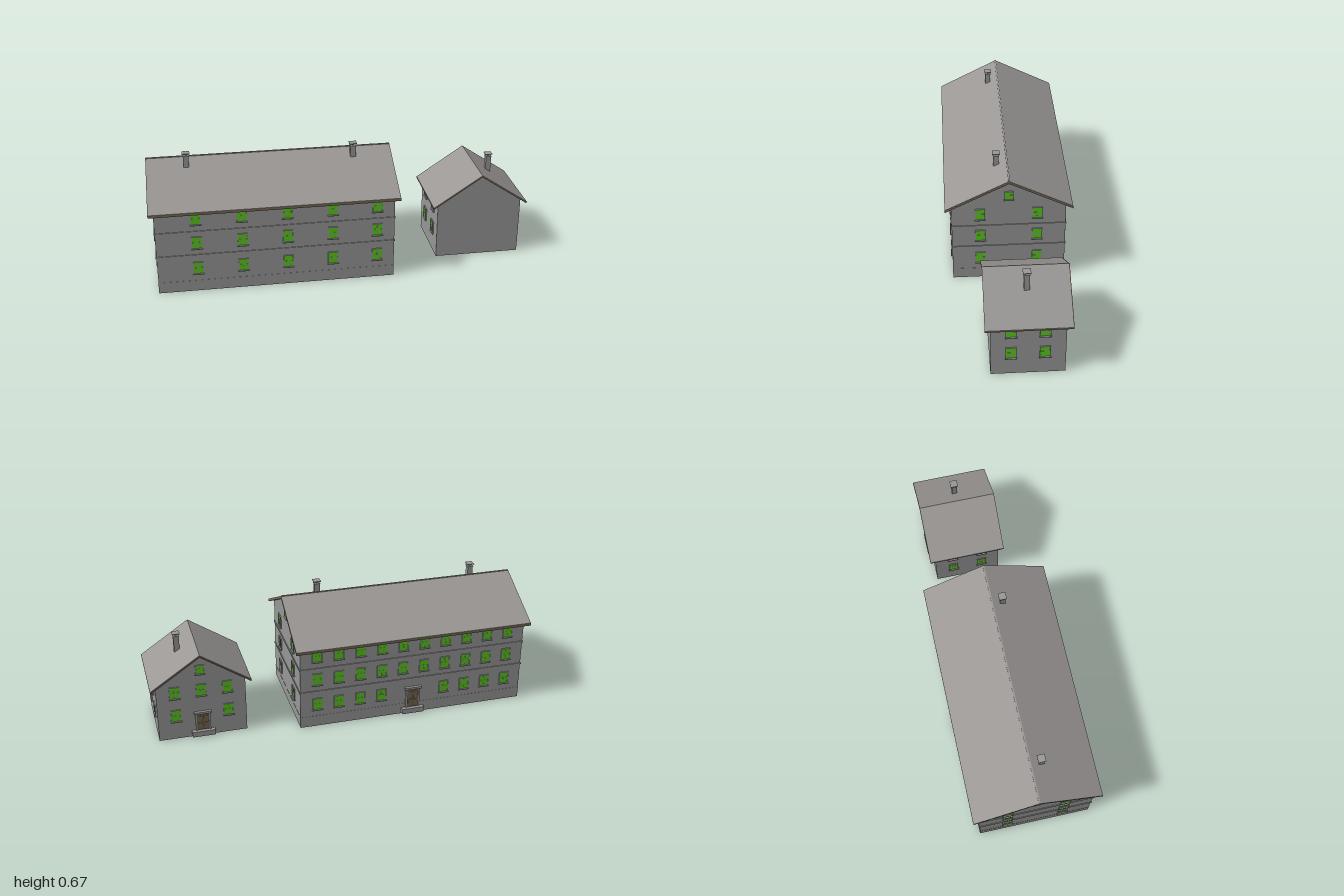
import * as THREE from 'three';

const mat = (name, color) => {
  const m = new THREE.MeshStandardMaterial({ color });
  m.name = name;
  return m;
};

export function createModel() {
  const model = new THREE.Group();
  const plaster = mat('plaster', 0x989898);
  plaster.side = THREE.DoubleSide;
  const trim = mat('trim', 0x989898);
  const roofGrey = mat('roof grey', 0x9a9795);
  const wood = mat('wood', 0x786955);
  const doorWood = mat('door wood', 0x6a5a48);
  const green = mat('window green', 0x55cc11);

  const add = (parent, name, geo, material, x = 0, y = 0, z = 0) => {
    const m = new THREE.Mesh(geo, material);
    m.name = name;
    m.position.set(x, y, z);
    parent.add(m);
    return m;
  };
  const box = (parent, name, material, w, h, d, x, y, z) =>
    add(parent, name, new THREE.BoxGeometry(w, h, d), material, x, y, z);
  const group = (parent, name, x, y, z, turn = 0) => {
    const g = new THREE.Group();
    g.name = name;
    g.position.set(x, y, z);
    g.rotation.y = turn;
    parent.add(g);
    return g;
  };

  // Four walls with two gables; the ridge runs along local z
  function walls(g, w, l, eave, peak) {
    const s = new THREE.Shape();
    s.moveTo(-w / 2, 0);
    s.lineTo(w / 2, 0);
    s.lineTo(w / 2, eave);
    s.lineTo(0, peak);
    s.lineTo(-w / 2, eave);
    for (const side of [1, -1]) {
      const gable = add(g, 'gableWall', new THREE.ShapeGeometry(s), plaster, 0, 0, side * l / 2);
      if (side < 0) gable.rotation.y = Math.PI;
      const wall = add(g, 'sideWall', new THREE.PlaneGeometry(l, eave), plaster, side * w / 2, eave / 2, 0);
      wall.rotation.y = side * Math.PI / 2;
    }
  }

  // Chevron slab between two heights below the ridge, extruded along local z
  function chevron(g, name, material, half, ridge, edge, top, bottom, z0, z1) {
    const s = new THREE.Shape();
    s.moveTo(0, ridge - top);
    s.lineTo(-half, edge - top);
    s.lineTo(-half, edge - bottom);
    s.lineTo(0, ridge - bottom);
    s.lineTo(half, edge - bottom);
    s.lineTo(half, edge - top);
    add(g, name, new THREE.ExtrudeGeometry(s, { depth: z1 - z0, bevelEnabled: false }), material, 0, 0, z0);
  }

  // Window with pane, surround, glazing bars and sill, facing local +z
  function windowAt(x, y, z, turn, w = 0.046, h = 0.062) {
    const g = group(model, 'window', x, y, z, turn);
    box(g, 'pane', green, w, h, 0.003, 0, 0, 0.0015);
    for (const s of [1, -1]) {
      box(g, 'jamb', trim, 0.003, h + 0.006, 0.006, s * (w / 2 + 0.0015), 0, 0.003);
    }
    box(g, 'head', trim, w + 0.006, 0.003, 0.006, 0, h / 2 + 0.0015, 0.003);
    box(g, 'sill', trim, w + 0.012, 0.004, 0.009, 0, -h / 2 - 0.004, 0.0045);
    box(g, 'mullion', trim, 0.003, h, 0.001, 0, 0, 0.0035);
    box(g, 'transom', trim, w, 0.002, 0.001, 0, 0.002, 0.0035);
  }

  // Back entrance with panelled leaf, surround, canopy and step
  function doorAt(x, z, headY) {
    const g = group(model, 'entrance', x, 0, z, Math.PI);
    const base = 0.035, h = headY - base;
    box(g, 'doorLeaf', doorWood, 0.062, h, 0.004, 0, base + h / 2, 0.002);
    for (const px of [-0.015, 0.015]) {
      for (const t of [0.25, 0.68]) {
        box(g, 'doorPanel', wood, 0.022, h * 0.34, 0.002, px, base + h * t, 0.005);
      }
    }
    for (const s of [1, -1]) {
      box(g, 'doorJamb', trim, 0.008, h, 0.007, s * 0.035, base + h / 2, 0.0035);
    }
    box(g, 'doorHead', trim, 0.078, 0.012, 0.008, 0, headY + 0.006, 0.004);
    box(g, 'doorCanopy', trim, 0.09, 0.012, 0.015, 0, headY + 0.008, 0.0075);
    box(g, 'doorStep', trim, 0.12, 0.029, 0.023, 0, 0.0205, 0.0115);
  }

  function chimney(x, z, bottom, top) {
    const g = group(model, 'chimney', x, 0, z);
    box(g, 'stack', trim, 0.028, top - bottom, 0.028, 0, (top + bottom) / 2, 0);
    box(g, 'stackRim', trim, 0.032, 0.004, 0.032, 0, top - 0.002, 0);
    box(g, 'flue', wood, 0.008, 0.012, 0.008, 0, top + 0.006, 0);
    box(g, 'cowl', trim, 0.039, 0.003, 0.039, 0, top + 0.0125, 0);
  }

  // Long house, open underneath
  const cx = -0.365;
  const big = group(model, 'longHouse', cx, 0, 0, Math.PI / 2);
  walls(big, 0.59, 1.22, 0.463, 0.613);
  chevron(big, 'roofBoards', wood, 0.328, 0.627, 0.461, 0.001, 0.014, -0.635, 0.635);
  chevron(big, 'roofCovering', roofGrey, 0.328, 0.628, 0.462, 0, 0.002, -0.6345, 0.6345);
  box(big, 'ridgeCap', roofGrey, 0.008, 0.005, 1.268, 0, 0.627, 0);

  // String courses and plinth around the long house
  for (const [y, h, d] of [[0.03, 0.06, 0.001], [0.206, 0.008, 0.004], [0.339, 0.008, 0.004]]) {
    for (const s of [1, -1]) {
      box(model, 'stringCourse', trim, 1.22 + 2 * d, h, d, cx, y, s * (0.295 + d / 2));
      box(model, 'stringCourse', trim, d, h, 0.59, cx + s * (0.61 + d / 2), y, 0);
    }
  }

  // Long house windows: five columns in front, ten behind, two on each gable
  const rows = [0.132, 0.277, 0.412];
  rows.forEach((y, row) => {
    for (let i = 0; i < 10; i++) {
      const x = 0.155 - i * 0.1155;
      if (i % 2 === 0) windowAt(x, y, 0.295, 0);
      if (row > 0 || (i !== 4 && i !== 5)) windowAt(x, y, -0.295, Math.PI);
    }
    for (const s of [1, -1]) {
      for (const z of [-0.148, 0.148]) windowAt(cx + s * 0.61, y, z, s * Math.PI / 2);
    }
  });
  for (const s of [1, -1]) windowAt(cx + s * 0.61, 0.525, 0, s * Math.PI / 2, 0.04, 0.046);
  doorAt(cx, -0.295, 0.143);
  chimney(-0.795, 0.055, 0.58, 0.655);
  chimney(0.065, 0.055, 0.58, 0.655);

  // Small house
  const sx = 0.7425, sz = -0.045;
  const small = group(model, 'smallHouse', sx, 0, sz);
  walls(small, 0.455, 0.36, 0.311, 0.467);
  const floor = add(small, 'floor', new THREE.PlaneGeometry(0.455, 0.36), plaster, 0, 0.001, 0);
  floor.rotation.x = Math.PI / 2;
  chevron(small, 'roofBoards', wood, 0.2555, 0.476, 0.304, 0.001, 0.009, -0.21, 0.205);
  chevron(small, 'roofCovering', roofGrey, 0.256, 0.477, 0.305, 0, 0.002, -0.206, 0.2055);
  for (const s of [1, -1]) {
    for (const y of [0.135, 0.268]) {
      for (const z of [0.037, -0.125]) windowAt(sx + s * 0.2275, y, z, s * Math.PI / 2);
      windowAt(sx + s * 0.135, y, -0.225, Math.PI);
    }
  }
  windowAt(sx, 0.268, -0.225, Math.PI);
  windowAt(sx, 0.385, -0.225, Math.PI, 0.04, 0.046);
  doorAt(sx, -0.225, 0.13);
  chimney(0.83, -0.045, 0.39, 0.5);

  return model;
}
